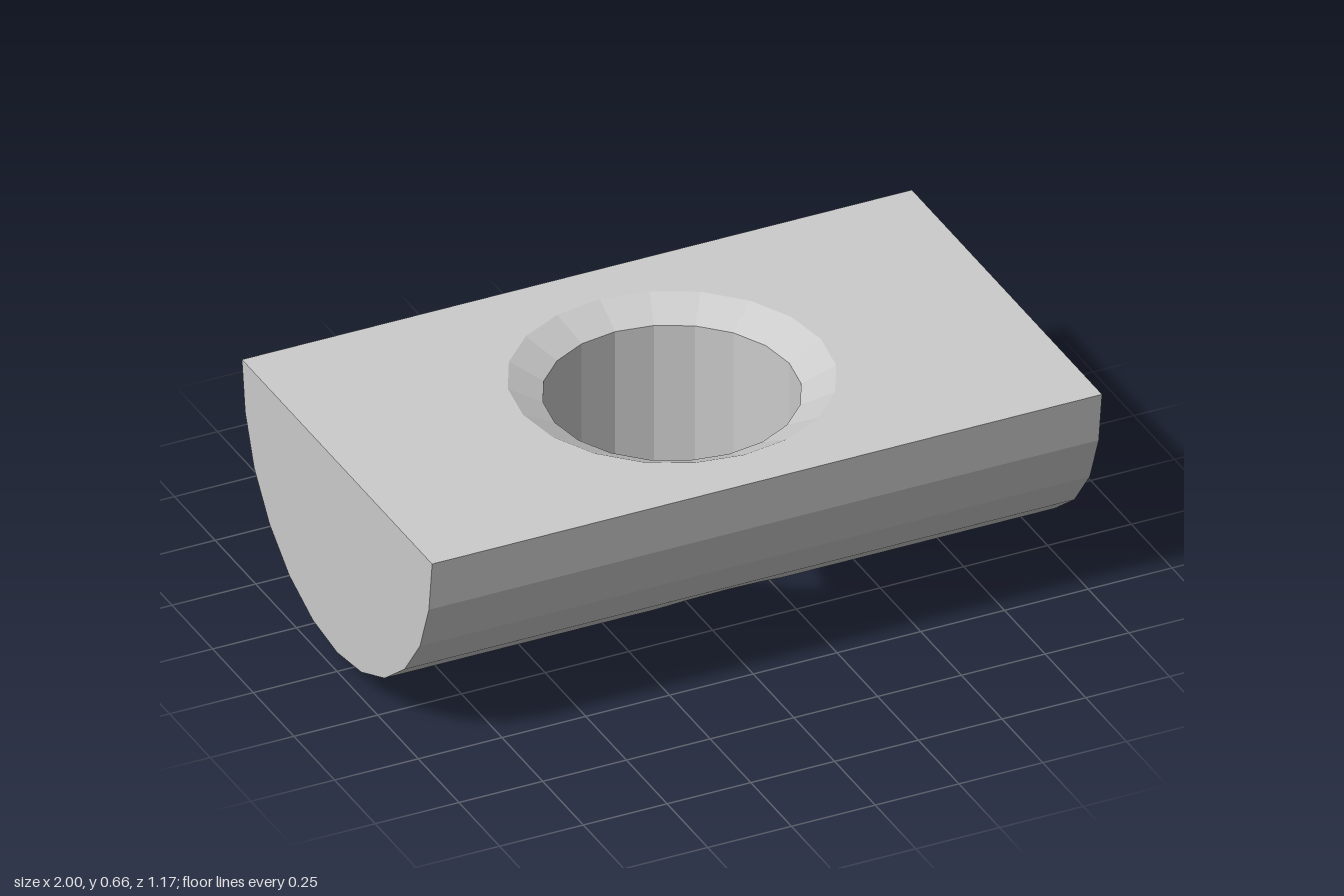
import * as THREE from 'three';

const TOP = 0.66, HOLE = 0.35, RIM = 0.445, SINK = 0.61, SIDES = 20;
// Half of the rounded underside: [z, y] from the keel to the top edge
const HALF = [[0, 0.06], [0.15, 0.08], [0.293, 0.14], [0.415, 0.235], [0.51, 0.36], [0.565, 0.505], [0.585, TOP]];
const PROFILE = [...HALF.slice(1).reverse().map(([z, y]) => [-z, y]), ...HALF];

const ring = (r, y, i) => {
  const a = (i / SIDES) * Math.PI * 2;
  return new THREE.Vector3(r * Math.sin(a), y, r * Math.cos(a));
};

// Linear interpolation along a list of [position, value]
function lookup(list, z) {
  for (let i = 1; i < list.length; i++) {
    const [z0, v0] = list[i - 1], [z1, v1] = list[i];
    if (z >= z0 && z <= z1) return v0 + ((v1 - v0) * (z - z0)) / (z1 - z0);
  }
  return 0;
}

// Collects flat quads into one geometry, dropping empty triangles
class Faces {
  points = [];
  quad(a, b, c, d, flip = false) {
    for (const t of [[a, b, c], [a, c, d]]) {
      if (new THREE.Triangle(...t).getArea() < 1e-7) continue;
      this.points.push(...(flip ? t.reverse() : t));
    }
  }
  geometry() {
    const g = new THREE.BufferGeometry().setFromPoints(this.points);
    g.computeVertexNormals();
    return g;
  }
}

export function createModel() {
  const group = new THREE.Group();
  const material = new THREE.MeshStandardMaterial({ color: 0xcccccc, flatShading: true });
  const add = (name, geometry) => {
    const mesh = new THREE.Mesh(geometry, material);
    mesh.name = name;
    group.add(mesh);
    return mesh;
  };
  const v = (x, y, z) => new THREE.Vector3(x, y, z);

  // Half-width of the hole at each z, and every z where the underside bends
  const holeHalf = [];
  for (let i = SIDES / 2; i >= 0; i--) {
    const p = ring(HOLE, 0, i);
    holeHalf.push([p.z, i % (SIDES / 2) ? p.x : 0]);
  }
  const cuts = [...new Set([...PROFILE, ...holeHalf].map(([z]) => z))].sort((a, b) => a - b);

  // Rounded underside, end caps and the hole wall that meets the underside
  const underside = new Faces(), ends = new Faces(), wall = new Faces();
  for (let i = 1; i < cuts.length; i++) {
    const z0 = cuts[i - 1], z1 = cuts[i];
    const y0 = lookup(PROFILE, z0), y1 = lookup(PROFILE, z1);
    const h0 = lookup(holeHalf, z0), h1 = lookup(holeHalf, z1);
    for (const s of [1, -1]) {
      const flip = s < 0;
      underside.quad(v(s * h0, y0, z0), v(s, y0, z0), v(s, y1, z1), v(s * h1, y1, z1), flip);
      ends.quad(v(s, y0, z0), v(s, TOP, z0), v(s, TOP, z1), v(s, y1, z1), flip);
      if (h0 + h1 > 1e-6)
        wall.quad(v(s * h0, y0, z0), v(s * h1, y1, z1), v(s * h1, SINK, z1), v(s * h0, SINK, z0), flip);
    }
  }
  add('roundedUnderside', underside.geometry());
  add('endCaps', ends.geometry());
  add('holeWall', wall.geometry());

  // Countersink
  const cone = new Faces();
  for (let i = 0; i < SIDES; i++)
    cone.quad(ring(HOLE, SINK, i + 1), ring(HOLE, SINK, i), ring(RIM, TOP, i), ring(RIM, TOP, i + 1));
  add('countersink', cone.geometry());

  // Flat top with the countersink opening
  const w = 0.585;
  const plate = new THREE.Shape([[-1, -w], [1, -w], [1, w], [-1, w]].map((p) => new THREE.Vector2(...p)));
  const opening = [];
  for (let i = 0; i < SIDES; i++) {
    const p = ring(RIM, 0, i);
    opening.push(new THREE.Vector2(p.x, p.z));
  }
  plate.holes.push(new THREE.Path(opening));
  add('flatTop', new THREE.ShapeGeometry(plate).rotateX(-Math.PI / 2).translate(0, TOP, 0));

  // Small locating ball half sunk in the underside
  add('locatingBall', new THREE.IcosahedronGeometry(0.15, 3)).position.set(0.78, 0.15, 0);

  return group;
}
